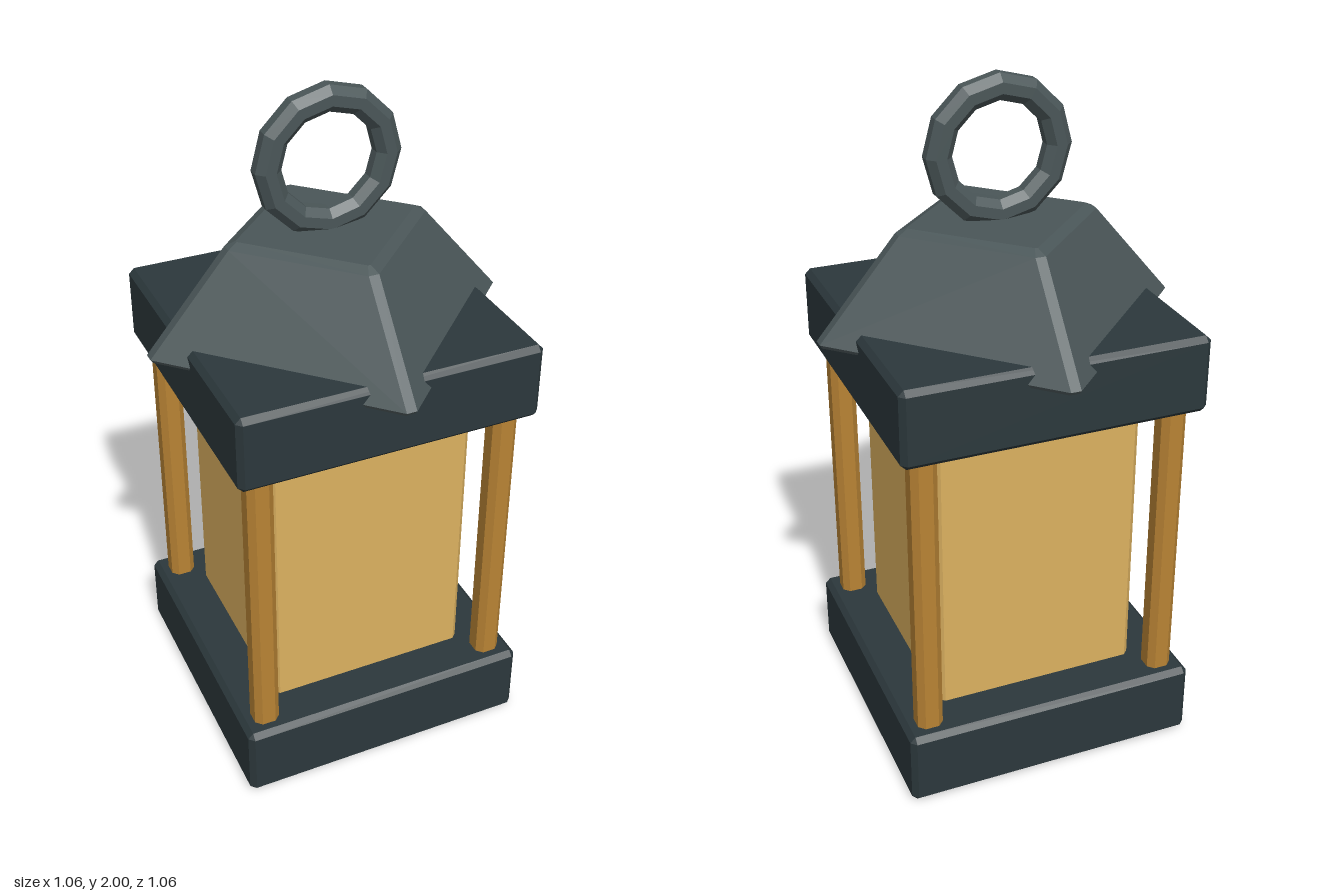
import * as THREE from 'three';
import { ConvexGeometry } from 'three/addons/geometries/ConvexGeometry.js';

const SIGNS = [-1, 1];
const BEVEL = 0.016;

const material = (color) => new THREE.MeshStandardMaterial({ color, flatShading: true });

// Box with every edge chamfered: three points around each corner
function chamferBox(w, h, d, c = BEVEL) {
  const x = w / 2, y = h / 2, z = d / 2;
  const points = [];
  for (const sx of SIGNS) for (const sy of SIGNS) for (const sz of SIGNS) {
    points.push(
      new THREE.Vector3(sx * x, sy * (y - c), sz * (z - c)),
      new THREE.Vector3(sx * (x - c), sy * y, sz * (z - c)),
      new THREE.Vector3(sx * (x - c), sy * (y - c), sz * z));
  }
  return new ConvexGeometry(points);
}

// Diamond-plan frustum with blunted corners; rings are [y, corner reach, half width of blunt corner]
function diamondRoof(rings) {
  const points = [];
  for (const [y, reach, w] of rings) {
    for (const s of SIGNS) for (const t of SIGNS) {
      points.push(new THREE.Vector3(s * reach, y, t * w), new THREE.Vector3(t * w, y, s * reach));
    }
  }
  return new ConvexGeometry(points);
}

// Ring with an octagonal section, standing in the xy plane
function ringGeometry(radius, tube, sides) {
  const profile = [];
  for (let i = 0; i <= 8; i++) {
    const a = (i + 0.5) * Math.PI / 4;
    const r = tube / Math.cos(Math.PI / 8);
    profile.push(new THREE.Vector2(radius + r * Math.cos(a), r * Math.sin(a)));
  }
  return new THREE.LatheGeometry(profile, sides).rotateX(Math.PI / 2);
}

export function createModel() {
  const group = new THREE.Group();
  const frame = material(0x2c383c);
  const metal = material(0x4a5658);
  const brass = material(0xb88334);
  const glow = material(0xdcb160);

  const add = (name, geometry, mat, x = 0, y = 0, z = 0) => {
    const mesh = new THREE.Mesh(geometry, mat);
    mesh.name = name;
    mesh.position.set(x, y, z);
    group.add(mesh);
  };

  // Base and upper slabs
  const slab = chamferBox(0.892, 0.23, 0.892);
  add('base', slab, frame, 0, 0.115, 0);
  add('topSlab', slab, frame, 0, 1.23, 0);

  // Glowing core
  add('lampCore', chamferBox(0.62, 0.93, 0.62), glow, 0, 0.672, 0);

  // Four corner posts
  const post = chamferBox(0.076, 0.93, 0.076, 0.018);
  for (const sx of SIGNS) for (const sz of SIGNS) {
    const name = (sz > 0 ? 'front' : 'back') + (sx > 0 ? 'Left' : 'Right') + 'Post';
    add(name, post, brass, sx * 0.37, 0.672, sz * 0.37);
  }

  // Roof set at 45 degrees to the slabs
  add('roof', diamondRoof([
    [1.293, 0.522, 0.014],
    [1.304, 0.53, 0.015],
    [1.585, 0.294, 0.015],
    [1.6, 0.265, 0.004],
  ]), metal);

  // Hanging ring
  add('hangingRing', ringGeometry(0.175, 0.037, 12), metal, 0, 1.788, 0);

  return group;
}
